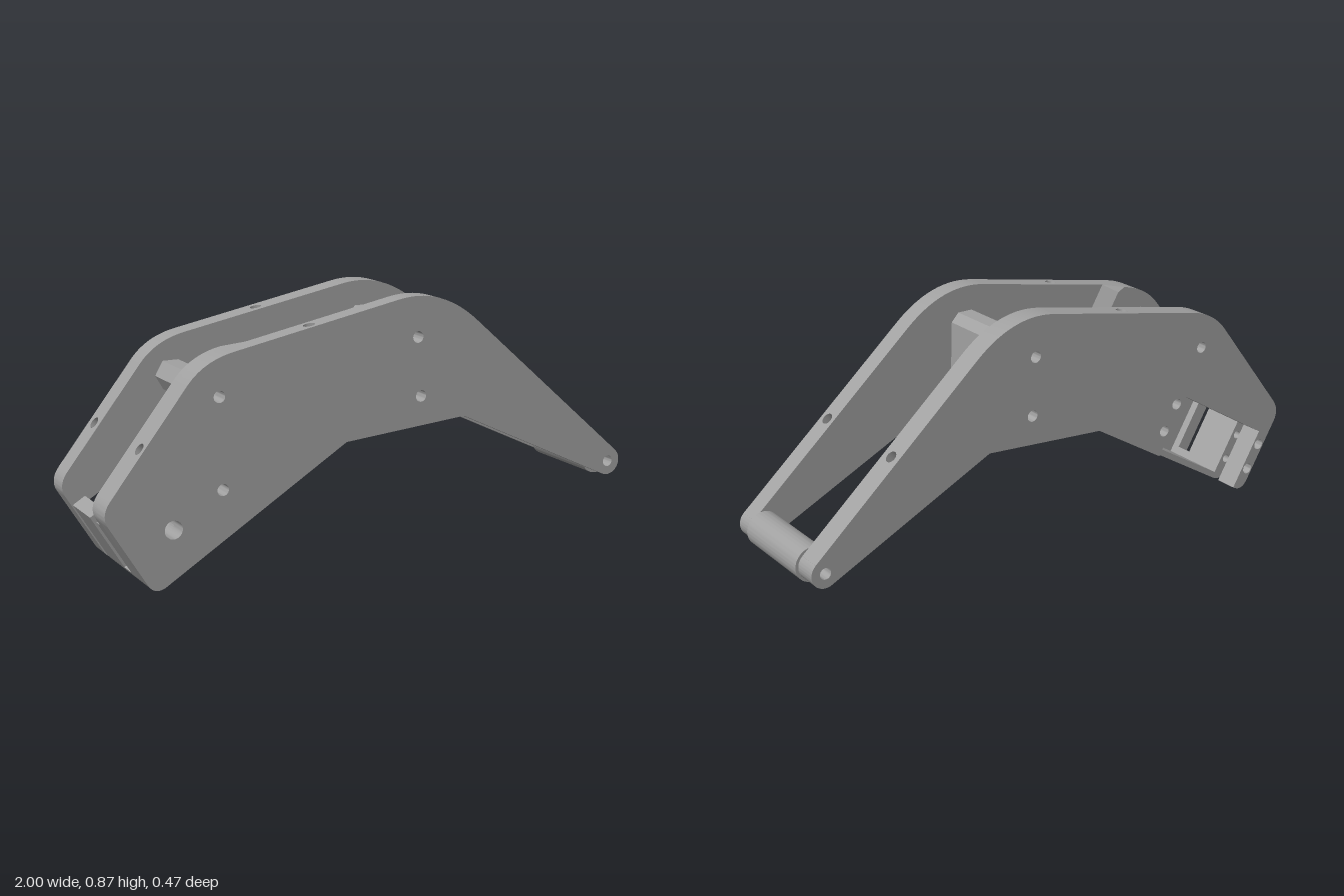
import * as THREE from 'three';
import { toCreasedNormals } from 'three/addons/utils/BufferGeometryUtils.js';

const grey = new THREE.MeshStandardMaterial({ color: 0xa0a0a0 });
grey.name = 'plain grey';
grey.side = THREE.DoubleSide;

// Slanted frame of the motor bay: a runs along the lower edge, b away from it
const E = [0.857, 0.515], O = [-0.842, -0.021];
const L = (a, b) => [O[0] + a * E[0] - b * E[1], O[1] + a * E[1] + b * E[0]];
const alongBay = (x, y) => (x - O[0]) * E[0] + (y - O[1]) * E[1];

const PIVOT = [0.936, 0.187];
const POST = [-0.607, 0.599], WEB = [[0.123, 0.722], [0.136, 0.519]];
const BAY_HOLES = [[0.024, 0.185], [0.024, 0.086], [0.515, 0.193], [0.515, 0.088]].map(p => L(...p));
const MOTOR_HOLES = [[-0.773, 0.187, 0.031], [-0.6, 0.294]];

// Straight edges that carry a screw hole: start, end, hole x
const EDGES = [
  [[0.969, 0.225], [0.36, 0.757], 0.66],
  [[0.05, 0.855], [-0.555, 0.738], -0.27],
  [[-0.715, 0.647], [-0.98, 0.312], -0.867],
];

function punch(shape, holes) {
  for (const [x, y, r = 0.02] of holes) {
    shape.holes.push(new THREE.Path().absarc(x, y, r, 0, Math.PI * 2, true));
  }
  return shape;
}

function polygon(points, holes = []) {
  return punch(new THREE.Shape(points.map(p => new THREE.Vector2(...p))), holes);
}

function extrude(shape, z0, z1) {
  return new THREE.ExtrudeGeometry(shape, { depth: z1 - z0, bevelEnabled: false, curveSegments: 14 })
    .translate(0, 0, z0);
}

function add(parent, name, geometry) {
  const mesh = new THREE.Mesh(geometry, grey);
  mesh.name = name;
  parent.add(mesh);
  return mesh;
}

// Left end of the outline: rounded upper and lower corners
function leftEnd(s) {
  s.lineTo(-0.98, 0.312);
  s.quadraticCurveTo(-1.015, 0.268, ...L(0, 0.29));
  s.lineTo(...L(0, 0.048));
  s.quadraticCurveTo(...L(0, 0), ...L(0.048, 0));
}

function plateShape(notched) {
  const s = new THREE.Shape();
  s.moveTo(0.969, 0.225);
  s.lineTo(0.36, 0.757);
  s.quadraticCurveTo(0.214, 0.886, 0.05, 0.855);
  s.lineTo(-0.555, 0.738);
  s.quadraticCurveTo(-0.658, 0.718, -0.715, 0.647);
  leftEnd(s);
  if (notched) {
    for (const p of [[0.05, 0], [0.05, 0.23], [0.485, 0.23], [0.485, 0]]) s.lineTo(...L(...p));
  }
  s.lineTo(-0.15, 0.395);
  s.lineTo(0.31, 0.43);
  s.lineTo(0.9145, 0.142);
  s.absarc(...PIVOT, 0.05, Math.PI * 1.36, Math.PI * 2.27, false);
  return punch(s, [POST, ...WEB, PIVOT, ...(notched ? BAY_HOLES : MOTOR_HOLES)]);
}

// Removes the flat wall between two outline points
function openEdge(geometry, p, q) {
  const pos = geometry.attributes.position, kept = [];
  const at = (i, c) => Math.hypot(pos.getX(i) - c[0], pos.getY(i) - c[1]) < 1e-4;
  for (let i = 0; i < pos.count; i += 3) {
    if ([i, i + 1, i + 2].every(k => at(k, p) || at(k, q))) continue;
    for (let k = i; k < i + 3; k++) kept.push(pos.getX(k), pos.getY(k), pos.getZ(k));
  }
  const g = new THREE.BufferGeometry();
  g.setAttribute('position', new THREE.Float32BufferAttribute(kept, 3));
  return g;
}

function sidePlate(name, notched, z0, z1) {
  const group = new THREE.Group();
  group.name = name;
  let body = extrude(plateShape(notched), z0, z1);
  const half = (z1 - z0) / 2;
  for (const [p, q, hx] of EDGES) {
    body = openEdge(body, p, q);
    // Replacement wall with a round hole, and the bore behind it
    const dir = new THREE.Vector3(q[0] - p[0], q[1] - p[1], 0);
    const len = dir.length(), d = len * (hx - p[0]) / (q[0] - p[0]);
    dir.normalize();
    const out = new THREE.Vector3(dir.y, -dir.x, 0);
    const frame = new THREE.Matrix4().makeBasis(dir, new THREE.Vector3().crossVectors(out, dir), out)
      .setPosition(p[0], p[1], (z0 + z1) / 2);
    const wall = polygon([[0, -half], [len, -half], [len, half], [0, half]], [[d, 0]]);
    add(group, 'drilledEdge', new THREE.ShapeGeometry(wall, 16).applyMatrix4(frame));
    const bore = new THREE.CylinderGeometry(0.02, 0.02, 0.08, 20, 1, true)
      .rotateX(Math.PI / 2).translate(d, 0, -0.04);
    add(group, 'edgeBore', bore.applyMatrix4(frame));
    add(group, 'boreEnd', new THREE.CircleGeometry(0.02, 20).translate(d, 0, -0.08).applyMatrix4(frame));
  }
  add(group, 'plateBody', toCreasedNormals(body, 0.5));
  return group;
}

// Slides the vertices past a given place along the bay at one depth
function slant(geometry, z, fromA, shift) {
  const pos = geometry.attributes.position;
  for (let i = 0; i < pos.count; i++) {
    const x = pos.getX(i), y = pos.getY(i);
    if (Math.abs(pos.getZ(i) - z) < 1e-4 && alongBay(x, y) > fromA) {
      pos.setXY(i, x + shift * E[0], y + shift * E[1]);
    }
  }
  geometry.computeVertexNormals();
  return geometry;
}

export function createModel() {
  const model = new THREE.Group();
  model.name = 'legLink';

  model.add(sidePlate('frontPlate', false, 0.165, 0.235));
  model.add(sidePlate('backPlate', true, -0.235, -0.153));

  // Thickened inner face of the front plate, ending in a ramp
  const pad = new THREE.Shape();
  pad.moveTo(-0.48, 0.7525);
  pad.lineTo(-0.555, 0.738);
  pad.quadraticCurveTo(-0.658, 0.718, -0.715, 0.647);
  leftEnd(pad);
  pad.lineTo(...L(0.709, 0));
  punch(pad, [POST, ...MOTOR_HOLES]);
  add(model, 'innerPad', slant(extrude(pad, 0.13, 0.165), 0.13, 0.68, -0.055));

  // Motor bay: floor, slotted end wall and thick inner wall
  const bay = new THREE.Group();
  bay.name = 'motorBay';
  model.add(bay);
  const endWall = top => {
    const s = new THREE.Shape();
    s.moveTo(...L(0.05, 0));
    s.lineTo(...L(0.05, top));
    s.lineTo(...L(0, top));
    s.lineTo(...L(0, 0.048));
    s.quadraticCurveTo(...L(0, 0), ...L(0.048, 0));
    return s;
  };
  add(bay, 'endWall', extrude(punch(endWall(0.265), BAY_HOLES.slice(0, 2).map(p => [...p, 0.015])), -0.12, 0.04));
  add(bay, 'slotFloor', extrude(endWall(0.05), 0.04, 0.1));
  add(bay, 'endWallStub', extrude(endWall(0.265), 0.1, 0.13));
  add(bay, 'floor', extrude(polygon([[0.05, 0], [0.49, 0], [0.49, 0.022], [0.05, 0.022]].map(p => L(...p))), -0.12, 0.165));
  const wall = [[0.485, 0], [0.58, 0], [0.627, 0.05], [0.627, 0.225], [0.56, 0.262], [0.485, 0.262]].map(p => L(...p));
  add(bay, 'innerWall', extrude(polygon(wall, BAY_HOLES.slice(2)), -0.12, 0.07));
  add(bay, 'innerWallGusset', slant(extrude(polygon(wall), 0.07, 0.165), 0.165, 0.53, 0.082));

  // Six-sided spacer post
  const hex = [0, 1, 2, 3, 4, 5].map(i => {
    const t = i * Math.PI / 3;
    return [POST[0] + 0.056 * Math.cos(t), POST[1] + 0.056 * Math.sin(t)];
  });
  add(model, 'spacerPost', extrude(polygon(hex, [POST]), -0.153, 0.13));

  // Tall spacer web between the plates
  const web = [[0.098, 0.773], [0.152, 0.773], [0.18, 0.743], [0.189, 0.5],
    [0.162, 0.467], [0.108, 0.467], [0.081, 0.5], [0.072, 0.743]];
  add(model, 'spacerWeb', extrude(polygon(web, WEB), -0.153, 0.165));

  // Hollow pivot tube at the tip
  const ring = new THREE.Shape().absarc(...PIVOT, 0.06, 0, Math.PI * 2, false);
  const tube = new THREE.ExtrudeGeometry(punch(ring, [PIVOT]), { depth: 0.318, bevelEnabled: false, curveSegments: 32 })
    .translate(0, 0, -0.153);
  add(model, 'pivotTube', toCreasedNormals(tube, 0.5));

  return model;
}
